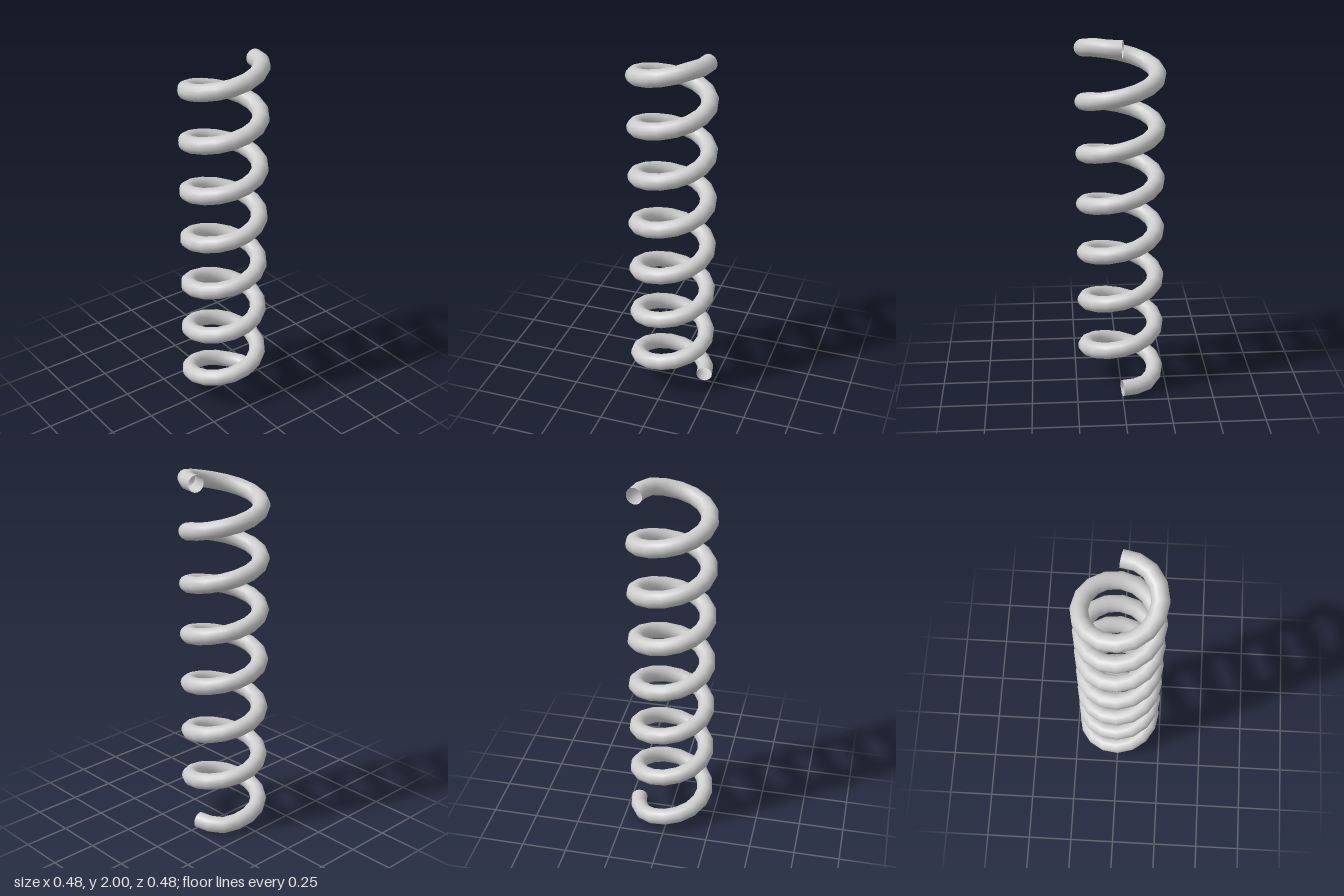
import * as THREE from 'three';

const TURNS = 7;
const STEPS = TURNS * 16; // sixteen straight segments per turn
const COIL_RADIUS = 0.193;
const WIRE_RADIUS = 0.045;
const HEIGHT = 2;
const RISE = 1.985; // climb of the helix before its ends are levelled

// Helix whose two ends are levelled so that they lie flat
class SpringCurve extends THREE.Curve {
  getPoint(t, target = new THREE.Vector3()) {
    const angle = t * TURNS * Math.PI * 2;
    const y = HEIGHT / 2 + (t - 0.5) * RISE;
    return target.set(
      -COIL_RADIUS * Math.sin(angle),
      THREE.MathUtils.clamp(y, WIRE_RADIUS, HEIGHT - WIRE_RADIUS),
      -COIL_RADIUS * Math.cos(angle)
    );
  }

  // Even angular steps, so every turn has the same corners
  getPointAt(u, target) {
    return this.getPoint(u, target);
  }

  // Direction between neighbouring corners gives mitred joints
  getTangentAt(u, target = new THREE.Vector3()) {
    const before = this.getPoint(Math.max(0, u - 1 / STEPS));
    const after = this.getPoint(Math.min(1, u + 1 / STEPS));
    return target.subVectors(after, before).normalize();
  }
}

export function createModel() {
  const group = new THREE.Group();
  group.name = 'coilSpring';

  // Round wire, open at both ends
  const wire = new THREE.Mesh(
    new THREE.TubeGeometry(new SpringCurve(), STEPS, WIRE_RADIUS, 16, false),
    new THREE.MeshStandardMaterial({ color: 0xcccccc, side: THREE.DoubleSide })
  );
  wire.name = 'springWire';
  group.add(wire);

  return group;
}
